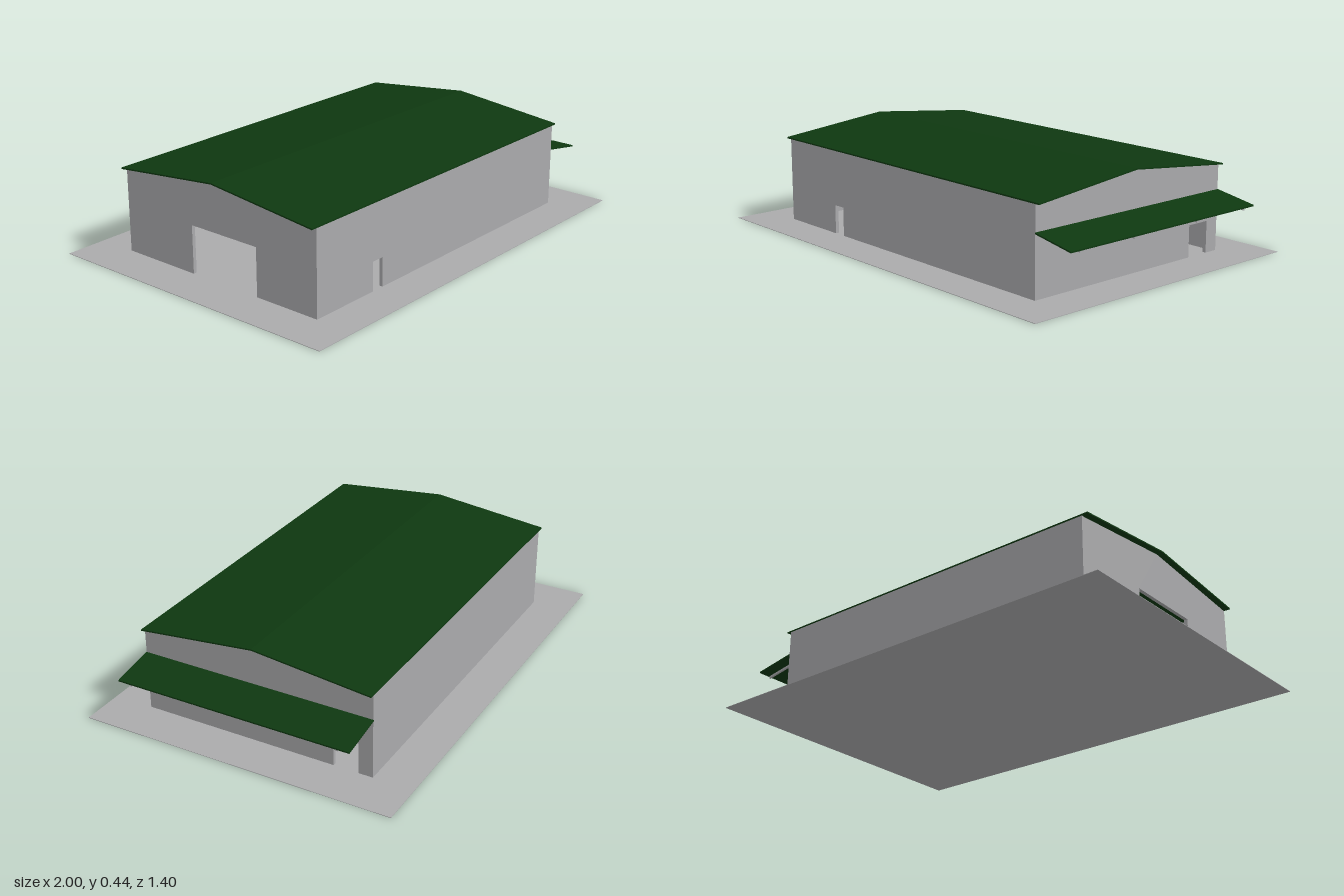
import * as THREE from 'three';

const HX = 0.81, HZ = 0.523;      // half size of the hall
const EAVE = 0.376, RIDGE = 0.431; // wall heights
const WALL = 0.016;                // wall thickness

export function createModel() {
  const group = new THREE.Group();
  const concrete = new THREE.MeshStandardMaterial({ color: 0xaaaaac });
  concrete.name = 'concrete grey';
  const green = new THREE.MeshStandardMaterial({ color: 0x0e3810 });
  green.name = 'roof green';

  function add(name, geometry, material, x = 0, y = 0, z = 0) {
    const mesh = new THREE.Mesh(geometry, material);
    mesh.name = name;
    mesh.position.set(x, y, z);
    group.add(mesh);
    return mesh;
  }

  function extrude(points, depth) {
    const shape = new THREE.Shape(points.map(([x, y]) => new THREE.Vector2(x, y)));
    return new THREE.ExtrudeGeometry(shape, { depth, bevelEnabled: false });
  }

  // Wall outline with an optional door notch [from, to, height] and gable peak
  function wall(half, door, peak) {
    const points = [[-half, 0]];
    if (door) {
      const [a, b, h] = door;
      points.push([a, 0], [a, h], [b, h], [b, 0]);
    }
    points.push([half, 0], [half, EAVE]);
    if (peak) points.push([0, peak]);
    points.push([-half, EAVE]);
    return extrude(points, WALL);
  }

  // Ground slab
  add('slab', new THREE.BoxGeometry(2, 0.002, 1.4), concrete, 0, 0.001, 0);

  // Long walls
  add('frontWall', wall(HX, [-0.475, -0.415, 0.13]), concrete, 0, 0, HZ - WALL);
  add('backWall', wall(HX), concrete, 0, 0, -HZ);

  // Gable walls: the outline runs along z, thickness along -x
  const inner = HZ - WALL;
  add('leftGable', wall(inner, [-0.46, -0.35, 0.14], RIDGE).rotateY(-Math.PI / 2), concrete, HX);
  add('rightGable', wall(inner, [-0.145, 0.21, 0.215], RIDGE).rotateY(-Math.PI / 2), concrete, -HX + WALL);

  // Pitched roof sheet
  const t = 0.006, edge = 0.525;
  const roof = extrude([
    [-edge, EAVE], [0, RIDGE], [edge, EAVE],
    [edge, EAVE + t], [0, RIDGE + t], [-edge, EAVE + t],
  ], 1.67).rotateY(-Math.PI / 2);
  add('roof', roof, green, 0.832);

  // Lean-to canopy with four rafters below
  const canopy = extrude([[HX, 0.261], [1, 0.228], [1, 0.234], [HX, 0.267]], 2 * edge);
  add('canopy', canopy, green, 0, 0, -edge);
  const rafter = extrude([[HX, 0.251], [0.995, 0.219], [0.995, 0.229], [HX, 0.261]], 0.008);
  for (const z of [-0.468, -0.18, 0.18, 0.468]) {
    add('canopyRafter', rafter, concrete, 0, 0, z - 0.004);
  }

  return group;
}
